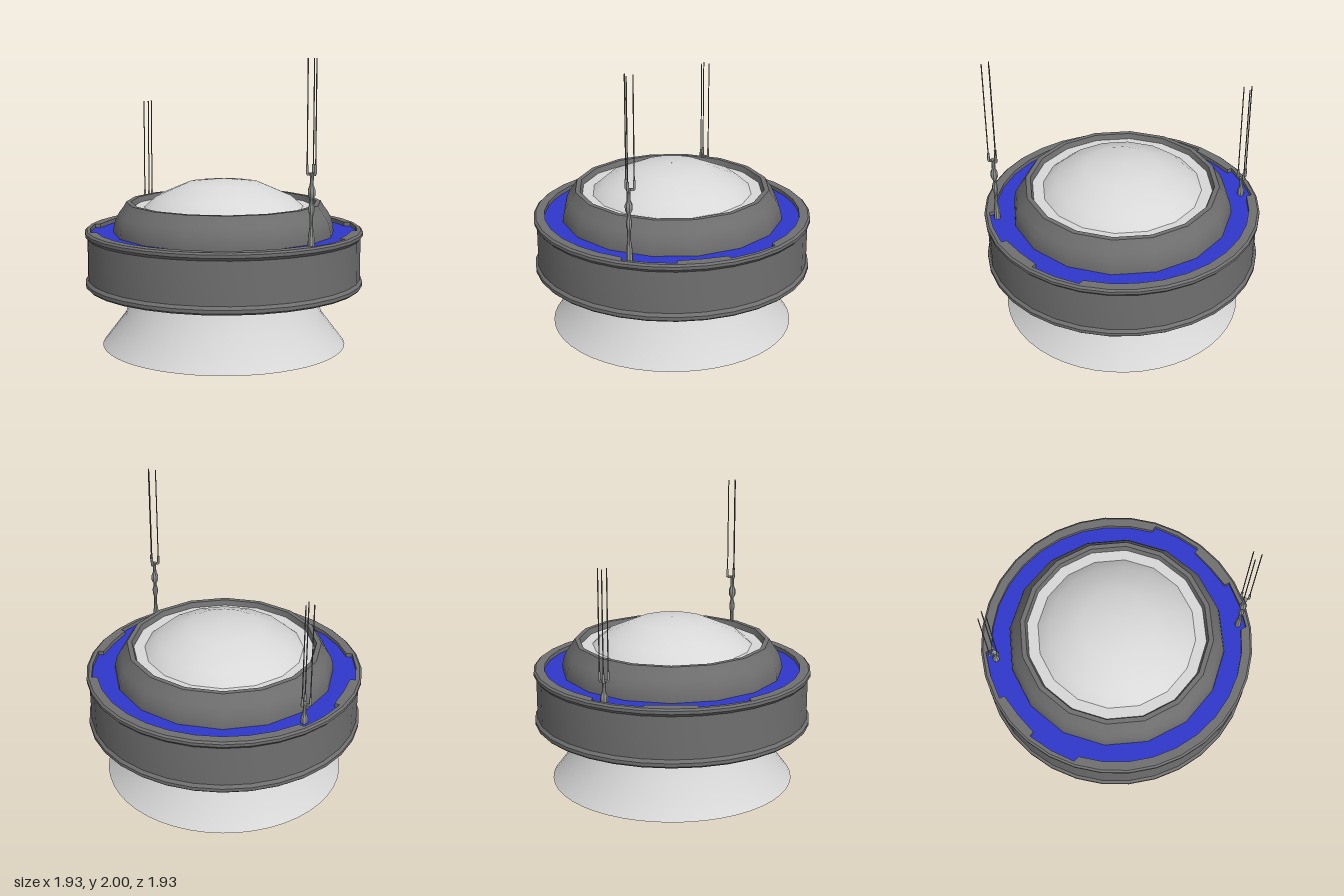
import * as THREE from 'three';
import { toCreasedNormals } from 'three/addons/utils/BufferGeometryUtils.js';

const paint = (name, color) =>
  new THREE.MeshStandardMaterial({ name, color, side: THREE.DoubleSide });

export function createModel() {
  const lightGrey = paint('light grey', 0xd8d8d8);
  const darkGrey = paint('dark grey', 0x6f6f6f);
  const blue = paint('blue', 0x2f38cc);
  const metal = paint('antenna metal', 0x929692);

  const model = new THREE.Group();
  model.name = 'domedStation';

  const add = (parent, name, geometry, material) => {
    const mesh = new THREE.Mesh(geometry, material);
    mesh.name = name;
    parent.add(mesh);
    return mesh;
  };
  // Turned part from [radius, height] pairs; edges sharper than the crease stay crisp
  const turn = (points, sides, crease = 0.6) => toCreasedNormals(
    new THREE.LatheGeometry(points.map(([r, y]) => new THREE.Vector2(r, y)), sides), crease);

  // Flared open skirt
  add(model, 'skirt', turn([[0.85, 0], [0.69, 0.21], [0.622, 0.42]], 48), lightGrey);

  // Hollow drum with a bead at the top and bottom
  add(model, 'drum', turn([
    [0.622, 0.42], [0.955, 0.42], [0.967, 0.432], [0.967, 0.455], [0.95, 0.475],
    [0.95, 0.762], [0.967, 0.782], [0.967, 0.803], [0.953, 0.815],
  ], 32), darkGrey);

  // Lip on top of the drum, its inner edge recessed at four places
  const polar = (r, a) => new THREE.Vector2(r * Math.cos(a), r * Math.sin(a));
  const outer = [], inner = [];
  for (let i = 0; i < 32; i++) outer.push(polar(0.953, i * Math.PI / 16));
  const quarter = [[0, 0.882], [10.8, 0.89], [10.8, 0.927], [22, 0.927], [33, 0.932],
    [34, 0.892], [45, 0.892], [56.25, 0.892], [67.5, 0.892], [78.75, 0.892], [90, 0.892]];
  const half = [...quarter, ...quarter.slice(1, -1).reverse().map(([d, r]) => [180 - d, r])];
  for (const turnBy of [0, 180])
    for (const [d, r] of half) inner.push(polar(r, THREE.MathUtils.degToRad(d + turnBy)));
  const lipShape = new THREE.Shape(outer);
  lipShape.holes.push(new THREE.Path(inner));
  const lip = new THREE.ExtrudeGeometry(lipShape, { depth: 0.03, bevelEnabled: false });
  lip.rotateX(-Math.PI / 2).translate(0, 0.785, 0);
  add(model, 'lip', lip, darkGrey);

  // Blue walkway set just below the lip
  add(model, 'walkway', turn([[0.945, 0.787], [0.755, 0.787]], 32), blue);

  // Rounded collar around the dome
  add(model, 'collar', turn([
    [0.77, 0.785], [0.768, 0.82], [0.755, 0.875], [0.728, 0.925], [0.697, 0.967],
    [0.678, 1.0], [0.645, 1.0], [0.63, 0.96],
  ], 16), darkGrey);

  // Flat ledge and shallow dome
  add(model, 'domeLedge', turn([[0.632, 0.963], [0.555, 0.963]], 16), lightGrey);
  add(model, 'dome', turn([
    [0.555, 0.963], [0.47, 1.037], [0.255, 1.13], [0.001, 1.16],
  ], 16, 0.9), lightGrey);

  // Antenna: turned mast, three clamps and three thin rods
  const makeAntenna = (name) => {
    const antenna = new THREE.Group();
    antenna.name = name;
    add(antenna, 'mast', turn([
      [0, 0.785], [0.022, 0.79], [0.022, 0.86], [0.012, 0.93], [0.012, 1.0], [0.02, 1.03],
      [0.02, 1.06], [0.012, 1.09], [0.012, 1.11], [0.025, 1.135], [0.025, 1.17],
      [0.013, 1.2], [0.013, 1.26], [0.018, 1.275], [0, 1.28],
    ], 8), metal);
    for (const [x, z] of [[-0.028, 0.01], [0.028, 0.01], [0, -0.037]]) {
      const arm = add(antenna, 'arm', new THREE.BoxGeometry(0.008, 0.018, Math.hypot(x, z)), metal);
      arm.position.set(x / 2, 1.27, z / 2);
      arm.rotation.y = Math.atan2(x, z);
      add(antenna, 'clamp', new THREE.CylinderGeometry(0.009, 0.009, 0.06, 6), metal)
        .position.set(x, 1.3, z);
      add(antenna, 'rod', new THREE.CylinderGeometry(0.004, 0.004, 0.73, 5), darkGrey)
        .position.set(x, 1.635, z);
    }
    model.add(antenna);
    return antenna;
  };
  makeAntenna('tallAntenna').position.set(0.755, 0, 0.45);
  const shortAntenna = makeAntenna('shortAntenna');
  shortAntenna.position.set(-0.752, -0.34, -0.428);
  shortAntenna.rotation.y = Math.PI / 2;

  return model;
}
